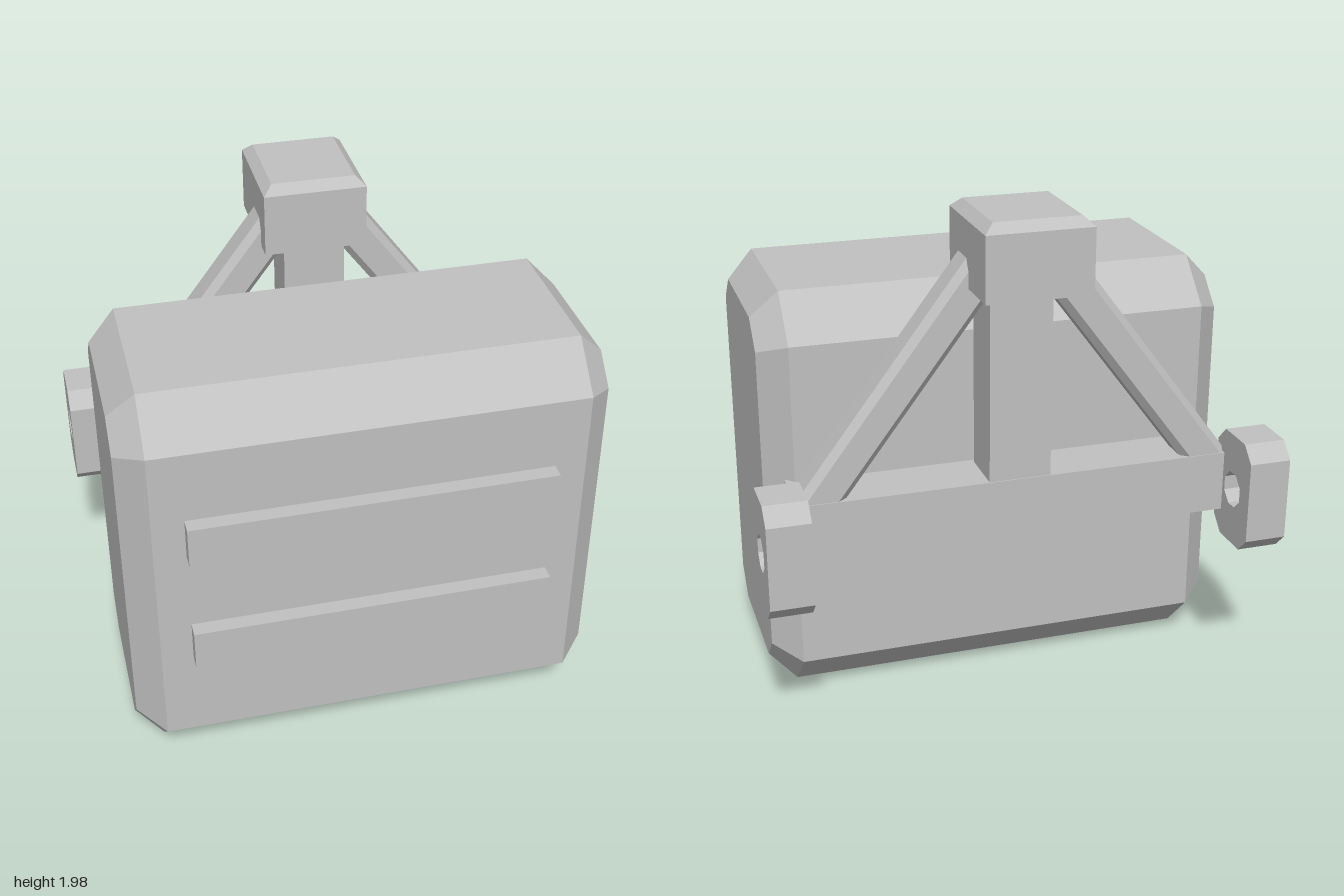
import * as THREE from 'three';

const grey = new THREE.MeshStandardMaterial({ color: 0xc0c0c0 });
grey.name = 'castGrey';

// Rectangle outline with 45 degree cut corners, centred on the origin
function cutRect(w, h, c) {
  const x = w / 2, y = h / 2;
  return new THREE.Shape([
    [x, -y + c], [x, y - c], [x - c, y], [-x + c, y],
    [-x, y - c], [-x, -y + c], [-x + c, -y], [x - c, -y],
  ].map(([a, b]) => new THREE.Vector2(a, b)));
}

// Straight extrusion centred on its length, running along z
function prism(shape, length, bevel = 0) {
  const geo = new THREE.ExtrudeGeometry(shape, {
    depth: length - 2 * bevel, bevelEnabled: bevel > 0, bevelSegments: 1,
    bevelSize: bevel, bevelThickness: bevel, bevelOffset: -bevel,
  });
  return geo.translate(0, 0, bevel - length / 2);
}

export function createModel() {
  const group = new THREE.Group();

  function add(name, geo, x, y, z) {
    const mesh = new THREE.Mesh(geo, grey);
    mesh.name = name;
    mesh.position.set(x, y, z);
    group.add(mesh);
    return mesh;
  }
  // Box given by its limits
  function addBox(name, [x0, x1], [y0, y1], [z0, z1]) {
    const geo = new THREE.BoxGeometry(x1 - x0, y1 - y0, z1 - z0);
    return add(name, geo, (x0 + x1) / 2, (y0 + y1) / 2, (z0 + z1) / 2);
  }

  // Main weight block, chamfered on every edge
  const body = prism(cutRect(0.92, 1.635, 0.165), 1.835, 0.105).rotateY(Math.PI / 2);
  add('weightBody', body, 0, 0.8175, 0.195);

  // Raised ribs on the front
  for (const y of [0.617, 1.105]) {
    addBox('frontRib', [-0.692, 0.692], [y - 0.081, y + 0.081], [0.63, 0.715]);
  }

  // Hitch frame behind the block
  addBox('crossBar', [-0.848, 0.848], [0.7, 0.94], [-0.49, -0.24]);
  addBox('centrePost', [-0.12, 0.12], [0.92, 1.72], [-0.485, -0.283]);

  // Top block with chamfered upper edges
  const cap = new THREE.BoxGeometry(0.4, 0.28, 0.435, 1, 2, 1);
  const pos = cap.attributes.position;
  for (let i = 0; i < pos.count; i++) {
    const y = pos.getY(i);
    if (Math.abs(y) < 0.01) pos.setY(i, 0.105);
    else if (y > 0) {
      pos.setX(i, Math.sign(pos.getX(i)) * 0.163);
      pos.setZ(i, Math.sign(pos.getZ(i)) * 0.18);
    }
  }
  const capFlat = cap.toNonIndexed();
  capFlat.computeVertexNormals();
  add('topBlock', capFlat, 0, 1.84, -0.467);

  // Diagonal braces and pierced lugs, one on each side
  const low = new THREE.Vector2(0.818, 0.858), high = new THREE.Vector2(0.078, 1.84);
  const braceGeo = prism(cutRect(0.155, 0.155, 0.027), low.distanceTo(high)).rotateX(Math.PI / 2);
  const lean = Math.atan2(low.x - high.x, high.y - low.y);

  const lugShape = cutRect(0.285, 0.443, 0.061);
  const hole = cutRect(0.13, 0.134, 0.039);
  lugShape.holes.push(new THREE.Path(hole.getPoints().reverse()));
  const lugGeo = prism(lugShape, 0.163).rotateY(Math.PI / 2);

  for (const [side, label] of [[1, 'left'], [-1, 'right']]) {
    const brace = add(label + 'Brace', braceGeo,
      side * (low.x + high.x) / 2, (low.y + high.y) / 2, -0.408);
    brace.rotation.z = side * lean;
    add(label + 'Lug', lugGeo, side * 0.9185, 0.82, -0.573);
  }
  return group;
}
